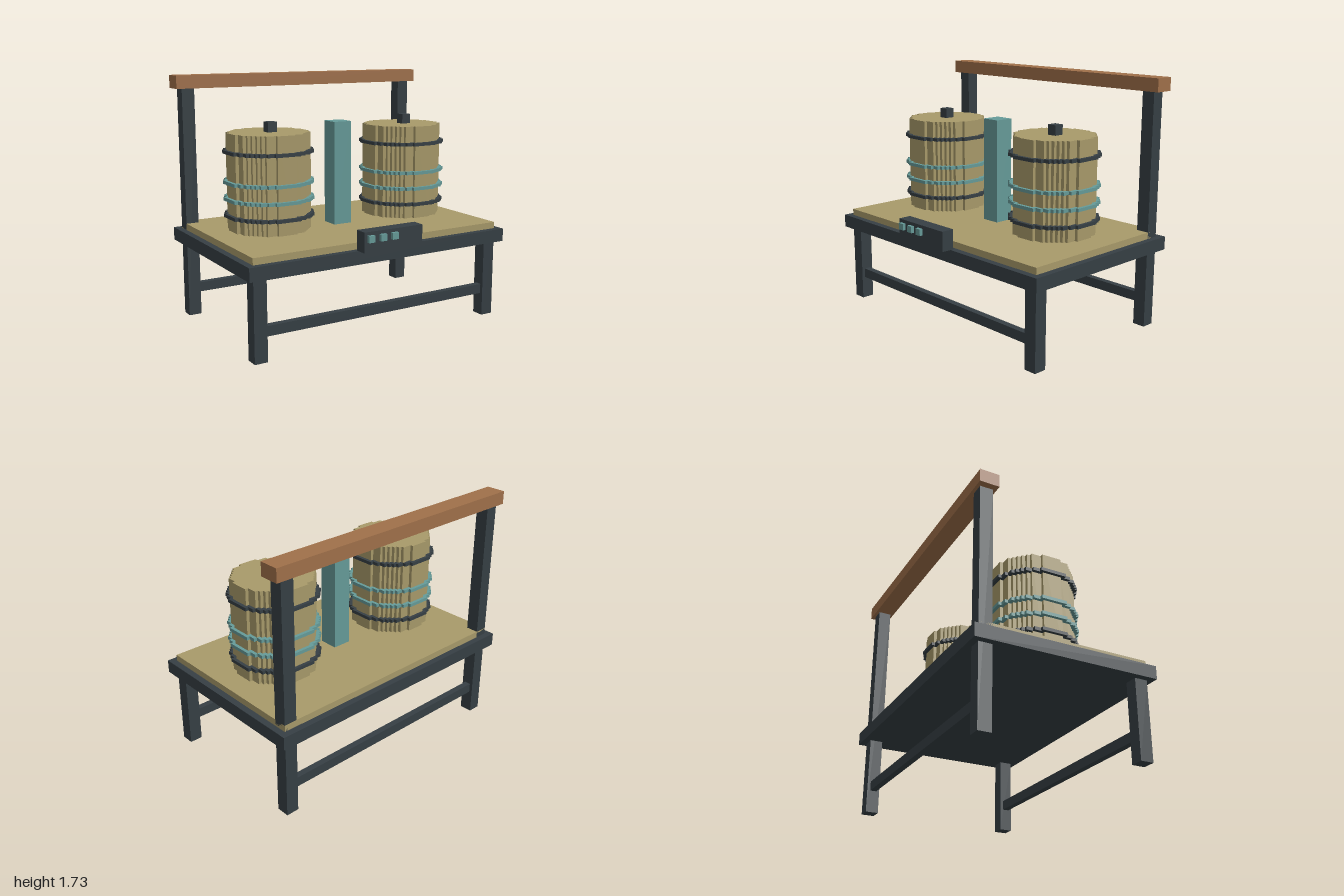
import * as THREE from 'three';

// Everything sits on a block grid: 88 blocks = 2 units.
const U = 1 / 44;

const material = (color) => new THREE.MeshStandardMaterial({ color, flatShading: true });

// Block-stepped disc of the given radius (in blocks), extruded upwards.
function steppedDisc(radius, height) {
  const halfWidth = (row) => {
    let w = 0;
    while ((w + 0.5) ** 2 + (row + 0.5) ** 2 <= radius * radius) w++;
    return w;
  };
  const right = [];
  for (let row = -radius; row < radius; row++) {
    const w = halfWidth(row);
    if (row === -radius || w !== halfWidth(row - 1)) right.push([w, row]);
    if (row === radius - 1 || w !== halfWidth(row + 1)) right.push([w, row + 1]);
  }
  const left = right.map(([x, y]) => [-x, y]).reverse();
  const shape = new THREE.Shape([...right, ...left].map(([x, y]) => new THREE.Vector2(x * U, y * U)));
  const geometry = new THREE.ExtrudeGeometry(shape, { depth: height * U, bevelEnabled: false });
  return geometry.rotateX(-Math.PI / 2);
}

export function createModel() {
  const model = new THREE.Group();
  model.name = 'barrelWorkbench';

  const dark = material(0x363f44);
  const wood = material(0xa89a6a);
  const teal = material(0x669b99);
  const brown = material(0xa0704a);

  // Box between two grid corners.
  function box(name, mat, [x0, y0, z0], [x1, y1, z1], parent = model) {
    const mesh = new THREE.Mesh(
      new THREE.BoxGeometry((x1 - x0) * U, (y1 - y0) * U, (z1 - z0) * U), mat);
    mesh.position.set((x0 + x1) / 2 * U, (y0 + y1) / 2 * U, (z0 + z1) / 2 * U);
    mesh.name = name;
    parent.add(mesh);
  }

  // Table frame and wooden top
  box('tableFrame', dark, [-44, 24, -30], [44, 28, 26]);
  box('tableTop', wood, [-42, 28, -28], [42, 30, 24]);

  // Short front legs, tall back posts
  for (const [side, x] of [['left', 38], ['right', -42]]) {
    box(side + 'FrontLeg', dark, [x, 0, 20], [x + 4, 24, 24]);
    box(side + 'BackPost', dark, [x, 0, -28], [x + 4, 72, -24]);
  }

  // Low stretchers and overhead beam
  box('frontStretcher', dark, [-38, 7, 21], [38, 10, 23]);
  box('backStretcher', dark, [-38, 7, -27], [38, 10, -25]);
  box('overheadBeam', brown, [-44, 72, -29], [44, 76, -23]);

  // Central column
  box('centralColumn', teal, [-3, 30, -5], [3, 62, 1]);

  // Control box with three buttons
  box('controlBox', dark, [-10, 28, 25], [10, 34, 29]);
  for (let i = 0; i < 3; i++) {
    const x = -9 + i * 4;
    box('button', teal, [x, 31, 29], [x + 2, 33, 30]);
  }

  // Two barrels with stepped walls, four hoops and a lid knob
  const bodyGeometry = steppedDisc(12, 29);
  const hoopGeometry = steppedDisc(13, 1);
  for (const [name, x] of [['leftBarrel', 24], ['rightBarrel', -24]]) {
    const barrel = new THREE.Group();
    barrel.name = name;
    barrel.position.set(x * U, 0, -2 * U);

    const body = new THREE.Mesh(bodyGeometry, wood);
    body.name = 'barrelBody';
    body.position.y = 31 * U;
    barrel.add(body);

    for (const [y, mat] of [[35, dark], [40, teal], [45, teal], [54, dark]]) {
      const hoop = new THREE.Mesh(hoopGeometry, mat);
      hoop.name = 'barrelHoop';
      hoop.position.y = y * U;
      barrel.add(hoop);
    }

    box('lidKnob', dark, [-1, 60, -1], [2, 63, 2], barrel);
    model.add(barrel);
  }

  return model;
}
